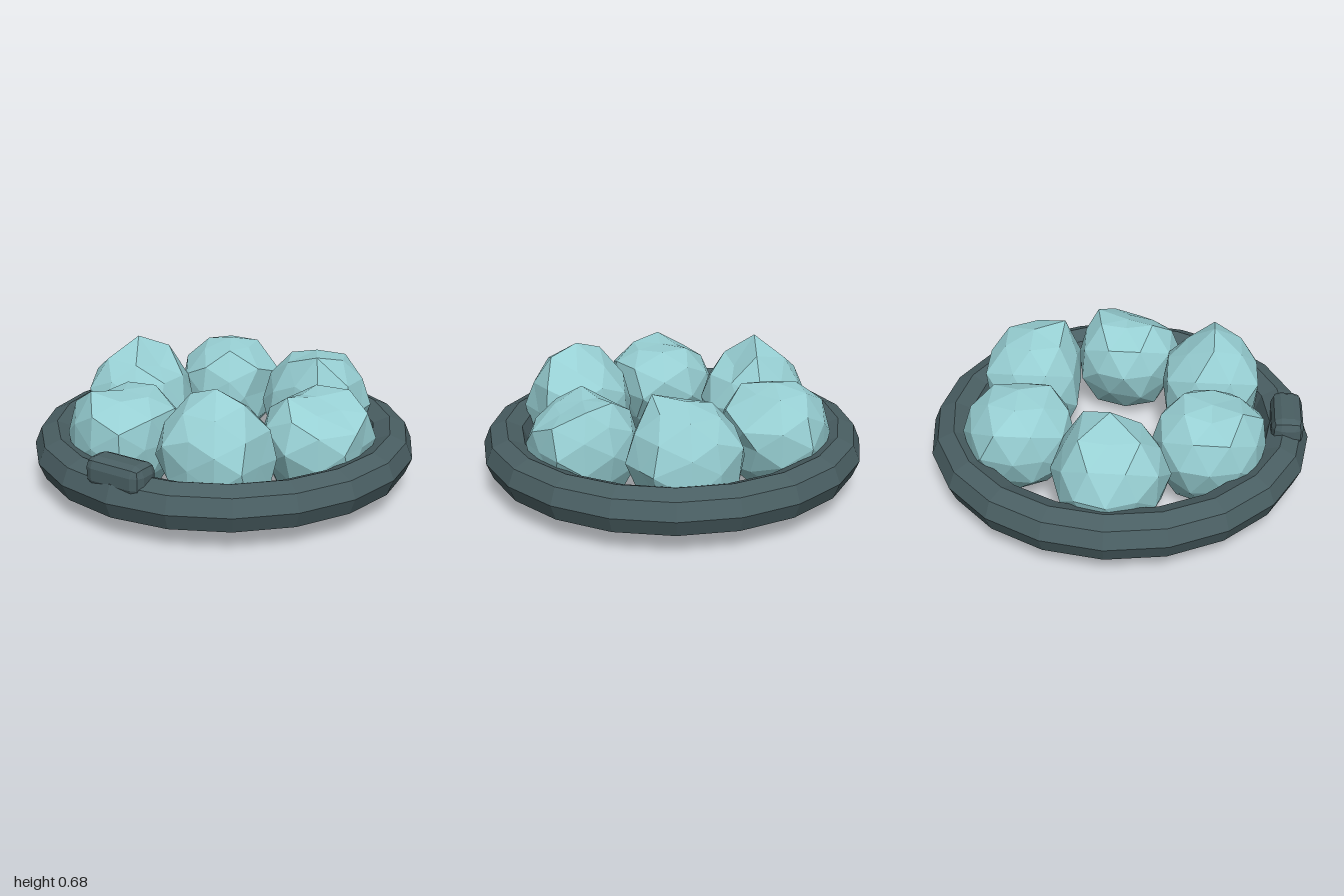
import * as THREE from 'three';
import { RoundedBoxGeometry } from 'three/addons/geometries/RoundedBoxGeometry.js';

const RING_Y = 0.205, STONE_Y = 0.34;

// Six stones from +x towards +z. reach: extents along +x, -x, +y, -y, +z, -z.
// corners: distinctive corners, measured from the stone's centre.
const STONES = [
  { reach: [0.26, 0.29, 0.215, 0.33, 0.31, 0.27],
    corners: [[0.26, 0.09, 0.06], [-0.09, 0.21, 0], [0.13, 0.17, 0], [0.09, 0.22, -0.17], [0.08, 0.17, 0.14], [0.14, -0.31, 0], [-0.15, -0.27, 0]] },
  { reach: [0.25, 0.28, 0.34, 0.28, 0.25, 0.27],
    corners: [[0.16, 0.29, 0], [-0.15, 0.29, 0], [0.27, 0, -0.12], [-0.25, 0, -0.15]] },
  { reach: [0.27, 0.29, 0.23, 0.33, 0.28, 0.30],
    corners: [[0.15, 0.22, 0], [-0.12, 0.2, 0], [-0.14, -0.29, 0], [0.15, -0.31, 0], [0.25, 0, -0.18], [-0.26, 0, -0.15]] },
  { reach: [0.30, 0.30, 0.35, 0.26, 0.30, 0.30],
    corners: [[-0.1, 0.23, 0], [0.14, 0.2, 0], [-0.22, 0.15, 0.09], [-0.22, 0.15, -0.09], [0.1, 0.28, -0.14], [0.23, 0, -0.18]] },
  { reach: [0.25, 0.28, 0.27, 0.28, 0.28, 0.30],
    corners: [[0.28, 0.09, -0.09], [0.12, 0.23, 0], [0.21, 0, 0.18], [-0.24, 0, -0.17]] },
  { reach: [0.28, 0.28, 0.29, 0.33, 0.25, 0.27],
    corners: [[0.09, 0.3, 0.16], [0.28, 0, 0.12], [0.28, 0, -0.11]] },
];

// Repeatable value in 0..1 for a direction, so shared corners stay joined
function hash(v, seed) {
  const [a, b, c] = [v.x, v.y, v.z].map((n) => Math.round(n * 100));
  const s = Math.sin(a * 12.9898 + b * 78.233 + c * 37.719 + seed * 53.17) * 43758.5453;
  return s - Math.floor(s);
}

// Rough faceted stone: a divided icosahedron with its corners pushed in and out
function stoneGeometry({ reach, corners }, seed) {
  const geometry = new THREE.IcosahedronGeometry(1, 1);
  const pos = geometry.attributes.position;
  const targets = corners.map((c) => new THREE.Vector3(...c));
  const v = new THREE.Vector3();
  for (let i = 0; i < pos.count; i++) {
    v.fromBufferAttribute(pos, i).normalize();
    const parts = v.toArray();
    const axis = parts.findIndex((n) => Math.abs(n) > 0.99);
    const target = targets.find((t) => t.dot(v) > 0.96 * t.length());
    // the underside keeps the stone's own depth, so it stays broad
    const radius = v.y < -0.7 ? reach[3] : 0.288;
    if (target) v.copy(target);
    else if (axis >= 0) v.multiplyScalar(reach[axis * 2 + (parts[axis] > 0 ? 0 : 1)]);
    else v.multiplyScalar(radius * (0.94 + 0.12 * hash(v, seed)));
    pos.setXYZ(i, v.x, v.y, v.z);
  }
  geometry.computeVertexNormals();
  return geometry;
}

export function createModel() {
  const model = new THREE.Group();
  model.name = 'stoneBracelet';
  const darkMetal = new THREE.MeshStandardMaterial({ name: 'dark slate', color: 0x4a5f63, flatShading: true });
  const paleStone = new THREE.MeshStandardMaterial({ name: 'pale teal', color: 0x97cfd3, flatShading: true });

  const add = (name, geometry, material, x, y, z) => {
    const mesh = new THREE.Mesh(geometry, material);
    mesh.name = name;
    mesh.position.set(x, y, z);
    model.add(mesh);
  };

  // Band and clasp
  add('band', new THREE.TorusGeometry(0.88, 0.12, 8, 20).rotateX(-Math.PI / 2), darkMetal, 0, RING_Y, 0);
  add('clasp', new RoundedBoxGeometry(0.33, 0.16, 0.165, 1, 0.05), darkMetal, 0, 0.313, 0.88);

  // Stones evenly spaced inside the band
  STONES.forEach((stone, i) => {
    const angle = (i * Math.PI) / 3;
    add(`stone${i + 1}`, stoneGeometry(stone, i + 1), paleStone,
      0.56 * Math.cos(angle), STONE_Y, 0.56 * Math.sin(angle));
  });

  return model;
}
